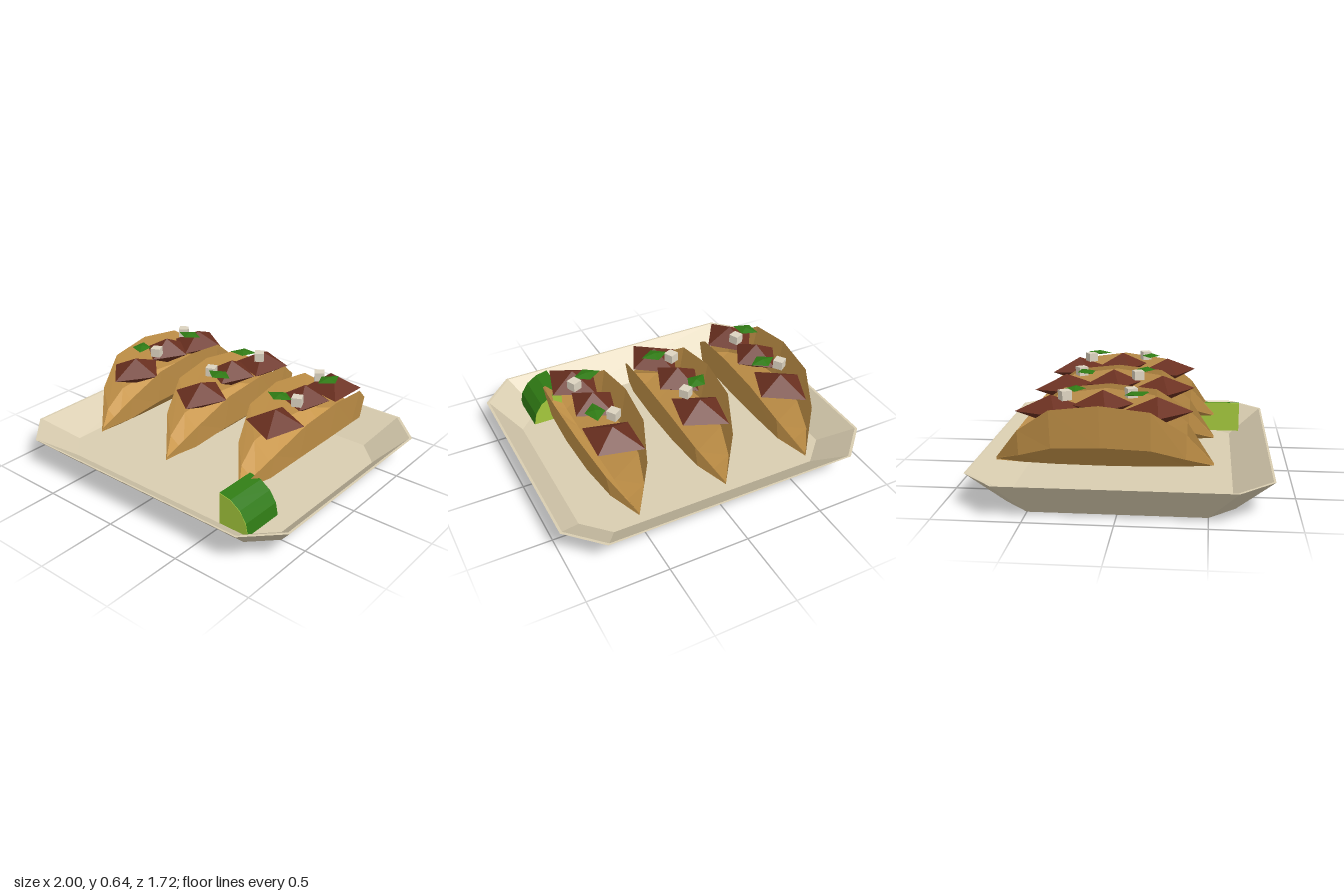
import * as THREE from 'three';

const mat = (name, color, side = THREE.FrontSide) => {
  const m = new THREE.MeshStandardMaterial({ color, side });
  m.name = name;
  return m;
};

// Flat-shaded skin over a list of cross-sections with equal point counts
function loft(rings, closed) {
  const pos = [];
  const n = rings[0].length;
  for (let r = 0; r < rings.length - 1; r++) {
    const a = rings[r], b = rings[r + 1];
    for (let i = 0; i < (closed ? n : n - 1); i++) {
      const j = (i + 1) % n;
      pos.push(...a[i], ...b[i], ...a[j], ...b[i], ...b[j], ...a[j]);
    }
  }
  const g = new THREE.BufferGeometry();
  g.setAttribute('position', new THREE.Float32BufferAttribute(pos, 3));
  g.computeVertexNormals();
  return g;
}

// Rectangle with chamfered corners, at height y
function octagon(x, z, c, y) {
  return [
    [x, y, -z + c], [x, y, z - c], [x - c, y, z], [-x + c, y, z],
    [-x, y, z - c], [-x, y, -z + c], [-x + c, y, -z], [x - c, y, -z],
  ];
}

export function createModel() {
  const model = new THREE.Group();
  const trayMat = mat('cream tray', 0xd9cdb0);
  const shellMat = mat('golden shell', 0xc8964a, THREE.DoubleSide);
  const meatMat = mat('brown meat', 0x6b3020);
  const onionMat = mat('white onion', 0xdcd3c0);
  const greenMat = mat('herb green', 0x2f7a14, THREE.DoubleSide);
  const pulpMat = mat('lime pulp', 0xa4c83c);

  const add = (parent, name, geometry, material, x = 0, y = 0, z = 0, yaw = 0) => {
    const m = new THREE.Mesh(geometry, material);
    m.name = name;
    m.position.set(x, y, z);
    m.rotation.y = yaw;
    parent.add(m);
    return m;
  };

  // Tray: underside, sloping wall, thin lip, inner wall, floor
  add(model, 'tray', loft([
    octagon(0, 0, 0, 0),
    octagon(0.84, 0.65, 0.15, 0),
    octagon(1, 0.86, 0.2, 0.2),
    octagon(0.985, 0.848, 0.196, 0.2),
    octagon(0.83, 0.64, 0.155, 0.04),
    octagon(0, 0, 0, 0.04),
  ], true), trayMat);

  // Folded shell: [distance from middle, rim x, rim y, side x, side y, fold y]
  const half = [
    [0, 0.217, 0.595, 0.177, 0.345, 0.185],
    [0.28, 0.2, 0.56, 0.162, 0.33, 0.188],
    [0.475, 0.127, 0.42, 0.105, 0.268, 0.195],
    [0.63, 0, 0.22, 0, 0.212, 0.205],
  ];
  const section = ([d, rx, ry, sx, sy, fy], s) => [
    [rx, ry, s * d], [sx, sy, s * d], [0, fy, s * d], [-sx, sy, s * d], [-rx, ry, s * d],
  ];
  const shellGeo = loft([
    ...half.slice(1).reverse().map((h) => section(h, -1)),
    ...half.map((h) => section(h, 1)),
  ], false);

  const chunk = (x, y, z) => new THREE.OctahedronGeometry(1).scale(x, y, z);
  const bigMeat = chunk(0.17, 0.085, 0.205);
  const midMeat = chunk(0.15, 0.085, 0.175);
  const onionGeo = new THREE.BoxGeometry(0.06, 0.055, 0.06);
  const leafGeo = chunk(0.085, 0.014, 0.06);
  const leafYaw = [[0.1, -0.93], [0.55, -0.05], [1.35, 0]];

  // Three filled tacos; toppings swap sides from one to the next
  [-0.555, 0, 0.555].forEach((x, i) => {
    const taco = new THREE.Group();
    taco.name = 'taco';
    taco.position.set(x, 0, -0.105);
    model.add(taco);
    add(taco, 'shell', shellGeo, shellMat);

    add(taco, 'meatBack', bigMeat, meatMat, 0, 0.515, -0.3, 0.3 + 0.17 * i);
    add(taco, 'meatMiddle', midMeat, meatMat, -0.01, 0.552, 0, 0.2 + 0.12 * i);
    add(taco, 'meatFront', bigMeat, meatMat, 0, 0.515, 0.305, 0.1 + 0.16 * i);

    const s = i === 1 ? 1 : -1;
    add(taco, 'onionBack', onionGeo, onionMat, s * 0.047, 0.612, -0.21, 0.6);
    add(taco, 'onionFront', onionGeo, onionMat, -s * 0.045, 0.612, 0.155, 0.4);
    add(taco, 'leafBack', leafGeo, greenMat, -s * 0.047, 0.628, -0.165, leafYaw[i][0]);
    add(taco, 'leafFront', leafGeo, greenMat, s * 0.05, 0.628, 0.195, leafYaw[i][1]);
  });

  // Lime wedge: quarter-round pulp under a curved rind
  const lime = new THREE.Group();
  lime.name = 'limeWedge';
  lime.position.set(0.56, 0.095, 0.565);
  model.add(lime);
  const shape = new THREE.Shape();
  shape.moveTo(0, 0);
  for (let k = 0; k <= 4; k++) {
    const t = Math.PI / 2 * (k / 4);
    shape.lineTo(0.197 * Math.cos(t), 0.197 * Math.sin(t));
  }
  add(lime, 'limePulp',
    new THREE.ExtrudeGeometry(shape, { depth: 0.27, bevelEnabled: false }).translate(0, 0, -0.135),
    pulpMat);
  const rind = new THREE.CylinderGeometry(0.2, 0.2, 0.27, 4, 1, true, 0, Math.PI / 2)
    .rotateX(-Math.PI / 2).toNonIndexed();
  rind.computeVertexNormals();
  add(lime, 'limeRind', rind, greenMat);

  return model;
}
